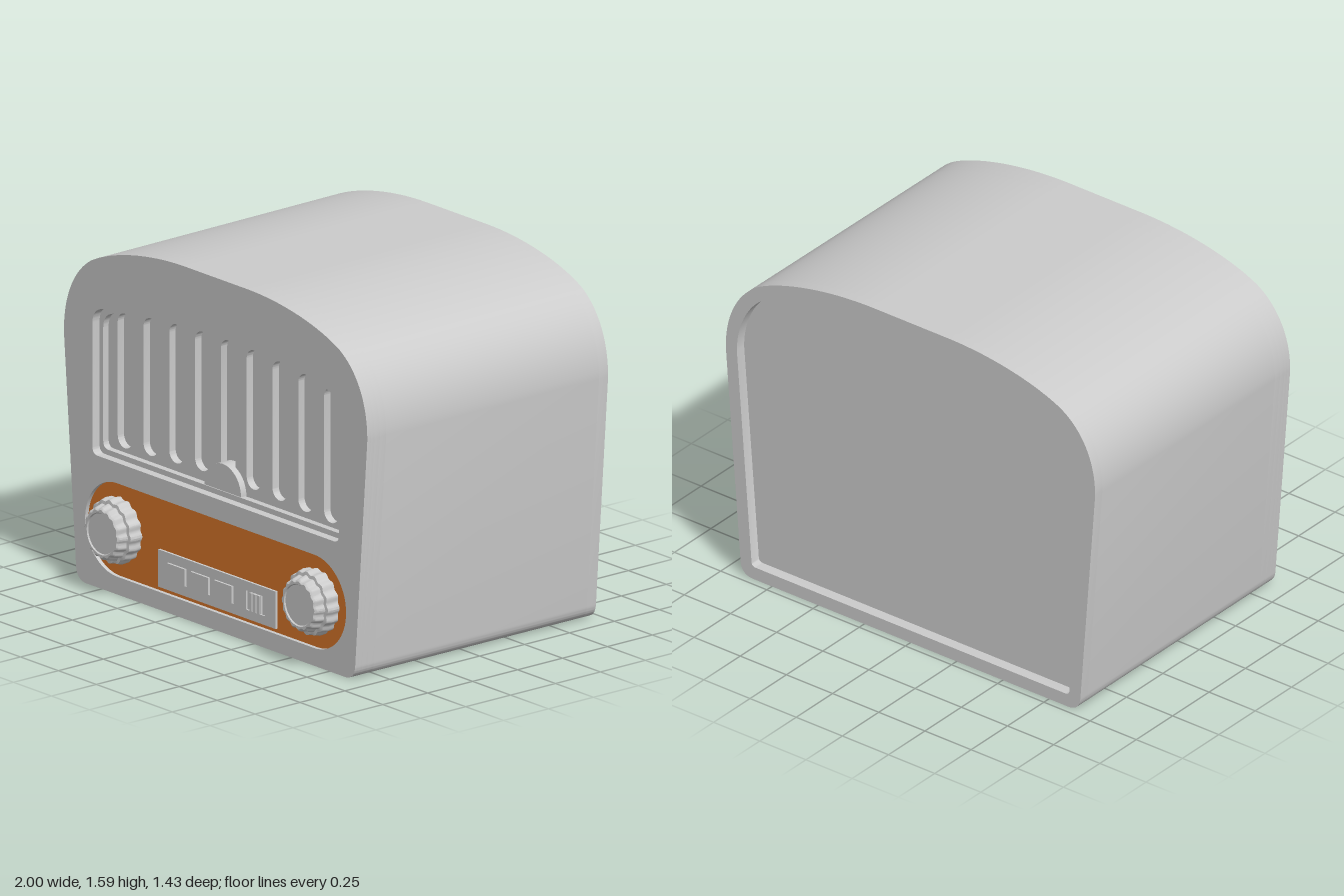
import * as THREE from 'three';
import { toCreasedNormals } from 'three/addons/utils/BufferGeometryUtils.js';

const BACK = -0.715, FRONT = 0.625;
const grey = new THREE.MeshStandardMaterial({ color: 0xcccccc });
const orange = new THREE.MeshStandardMaterial({ color: 0xd8762a });

function add(parent, name, geo, mat = grey) {
  const m = new THREE.Mesh(geo, mat);
  m.name = name;
  parent.add(m);
  return m;
}

// Plate of a shape between two depths, smooth round its curves
function slab(shape, z0, z1, holes = []) {
  shape.holes.push(...holes);
  const g = new THREE.ExtrudeGeometry(shape, { depth: z1 - z0, bevelEnabled: false, curveSegments: 16 });
  g.translate(0, 0, z0);
  return toCreasedNormals(g, 0.5);
}

// Cabinet outline, shrunk by d
function outline(d = 0) {
  const s = new THREE.Shape(), r = d ? 0.015 : 0.065, t = 1.585 - d;
  const bx = 0.915 - d, w = 1 - d;
  s.moveTo(-bx + r, d);
  s.lineTo(bx - r, d);
  s.quadraticCurveTo(bx, d, bx + 0.005, d + r);
  s.lineTo(w, 1.1);
  s.bezierCurveTo(w, 1.28 - d / 2, 0.92 - d, 1.4 - d / 2, 0.82 - d * 0.7, 1.46 - d * 0.8);
  s.bezierCurveTo(0.69 - d / 2, 1.53 - d, 0.45, t, 0.2, t);
  s.lineTo(-0.2, t);
  s.bezierCurveTo(-0.45, t, -0.69 + d / 2, 1.53 - d, -0.82 + d * 0.7, 1.46 - d * 0.8);
  s.bezierCurveTo(-0.92 + d, 1.4 - d / 2, -w, 1.28 - d / 2, -w, 1.1);
  s.lineTo(-bx - 0.005, d + r);
  s.quadraticCurveTo(-bx, d, -bx + r, d);
  return s;
}

// Arched grille opening, shrunk by d
function arch(d = 0) {
  const s = new THREE.Shape(), w = 0.812 - d, b = 0.592 + d, r = 0.035;
  s.moveTo(-w + r, b);
  s.lineTo(w - r, b);
  s.quadraticCurveTo(w, b, w, b + r);
  s.lineTo(w, 1.18 - d);
  s.quadraticCurveTo(w, 1.235 - d, w - 0.05, 1.255 - d);
  s.quadraticCurveTo(0, 1.505 - d, -w + 0.05, 1.255 - d);
  s.quadraticCurveTo(-w, 1.235 - d, -w, 1.18 - d);
  s.lineTo(-w, b + r);
  s.quadraticCurveTo(-w, b, -w + r, b);
  return s;
}

// Upright slot with round ends
function slot(x, y0, y1, r) {
  const s = new THREE.Shape();
  s.absarc(x, y1 - r, r, 0, Math.PI);
  s.absarc(x, y0 + r, r, Math.PI, 2 * Math.PI);
  s.closePath();
  return s;
}

// Long panel with round ends
function stadium(w, cy, r) {
  const s = new THREE.Shape();
  s.absarc(w - r, cy, r, -Math.PI / 2, Math.PI / 2);
  s.absarc(-w + r, cy, r, Math.PI / 2, Math.PI * 1.5);
  s.closePath();
  return s;
}

function rect(x0, y0, x1, y1) {
  return new THREE.Shape([[x0, y0], [x1, y0], [x1, y1], [x0, y1]].map(p => new THREE.Vector2(...p)));
}

// Scalloped two-tier knob facing +z
function knob() {
  const profile = [[0, 0], [0.141, 0], [0.143, 0.04], [0.137, 0.068], [0.122, 0.07], [0.112, 0.108],
    [0.104, 0.115], [0.093, 0.115], [0.089, 0.109], [0, 0.109]];
  const g = new THREE.LatheGeometry(profile.map(p => new THREE.Vector2(...p)), 96);
  const p = g.attributes.position;
  for (let i = 0; i < p.count; i++) {
    const x = p.getX(i), z = p.getZ(i);
    if (Math.hypot(x, z) < 0.1) continue;
    const k = 1 + 0.035 * Math.cos(16 * Math.atan2(z, x));
    p.setX(i, x * k);
    p.setZ(i, z * k);
  }
  g.rotateX(Math.PI / 2);
  return toCreasedNormals(g, 0.6);
}

export function createModel() {
  const radio = new THREE.Group();
  radio.name = 'tableRadio';

  // Cabinet in layers: recessed back, solid core, stepped front
  const cabinet = new THREE.Group();
  cabinet.name = 'cabinet';
  radio.add(cabinet);
  const slots = [];
  for (let i = -4; i <= 4; i++) {
    const a = Math.abs(i);
    slots.push(slot(i * 0.17, 0.667 - a * 0.008, 1.288 - a * a * 0.003, 0.048));
  }
  add(cabinet, 'backRim', slab(outline(), BACK, BACK + 0.05, [outline(0.06)]));
  add(cabinet, 'body', slab(outline(), BACK + 0.05, 0.52));
  add(cabinet, 'slottedGrille', slab(outline(), 0.52, 0.555, slots));
  add(cabinet, 'grilleStep', slab(outline(), 0.555, 0.585, [arch(0.024)]));
  add(cabinet, 'grilleFrame', slab(outline(), 0.585, 0.605, [arch()]));
  add(cabinet, 'frontFace', slab(outline(), 0.605, FRONT, [arch(), stadium(0.86, 0.29, 0.21)]));

  // The top falls slightly towards the front
  for (const m of cabinet.children) {
    const p = m.geometry.attributes.position;
    for (let i = 0; i < p.count; i++) {
      const t = (p.getZ(i) - BACK) / (FRONT - BACK);
      p.setY(i, p.getY(i) * (1 - 0.007 * t));
    }
  }

  // Half-round badge at the foot of the grille
  const half = new THREE.Shape();
  half.absarc(0, 0.614, 0.12, 0, Math.PI);
  half.closePath();
  add(radio, 'halfRoundBadge', slab(half, 0.515, 0.585));

  // Control panel
  add(radio, 'controlPanel', slab(stadium(0.859, 0.288, 0.209), 0.59, 0.607), orange);
  const buttonX = [-0.263, -0.108, 0.047];
  const windows = buttonX.map(x => rect(x - 0.062, 0.142, x + 0.062, 0.222));
  windows.push(rect(0.193, 0.138, 0.317, 0.224));
  add(radio, 'buttonPlate', slab(rect(-0.387, 0.098, 0.387, 0.265), 0.6, 0.618, windows));
  for (const x of buttonX) {
    add(radio, 'pushButton', new THREE.BoxGeometry(0.114, 0.076, 0.024)).position.set(x, 0.182, 0.612);
  }

  // Slide switch with ridges
  add(radio, 'switchBed', new THREE.BoxGeometry(0.124, 0.086, 0.01)).position.set(0.255, 0.181, 0.605);
  add(radio, 'switchSlider', new THREE.BoxGeometry(0.07, 0.08, 0.014)).position.set(0.255, 0.181, 0.613);
  for (const dx of [-0.026, 0, 0.026]) {
    add(radio, 'switchRidge', new THREE.BoxGeometry(0.014, 0.08, 0.014)).position.set(0.255 + dx, 0.181, 0.618);
  }

  // Knobs
  for (const side of [-1, 1]) {
    add(radio, side > 0 ? 'leftKnob' : 'rightKnob', knob()).position.set(side * 0.65, 0.288, 0.6);
  }
  return radio;
}
